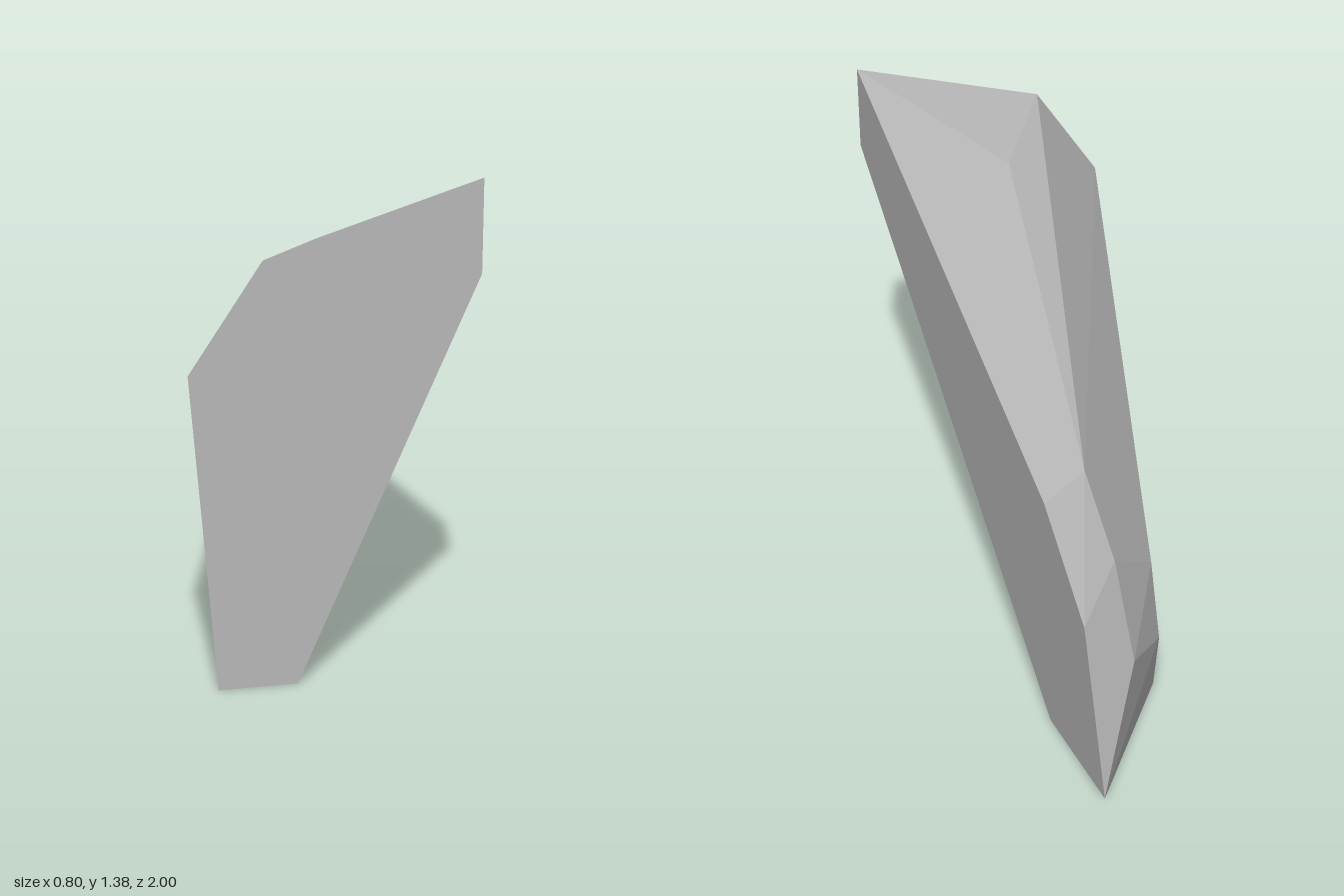
import * as THREE from 'three';
import { ConvexGeometry } from 'three/addons/geometries/ConvexGeometry.js';

export function createModel() {
  const group = new THREE.Group();
  group.name = 'rockShard';
  const stone = new THREE.MeshStandardMaterial({ color: 0xb8b8b8 });
  stone.name = 'grey stone';

  // Corners of the faceted, convex shard
  const corners = [
    // broken front face
    [-0.32, 0, 1], [-0.4, 0.89, 1], [-0.2, 1.19, 1],
    [0.395, 1.38, 1], [0.395, 1.12, 1], [-0.1, 0, 1],
    // flat side face
    [0.395, 0, -0.6], [0.39, 0.01, -1], [0.393, 0.5, -0.86], [0.395, 0.73, -0.57],
    // rounded back and outer side
    [0.05, 0, -0.55], [0.055, 0.2, -0.6], [0.03, 0.38, -0.48], [0.235, 0.33, -0.84],
    // upper ridge
    [0.22, 0.55, -0.66], [0.23, 0.735, -0.46], [0.03, 1.15, 0.65],
  ].map((c) => new THREE.Vector3(...c));

  const shard = new THREE.Mesh(new ConvexGeometry(corners), stone);
  shard.name = 'shard';
  group.add(shard);
  return group;
}
